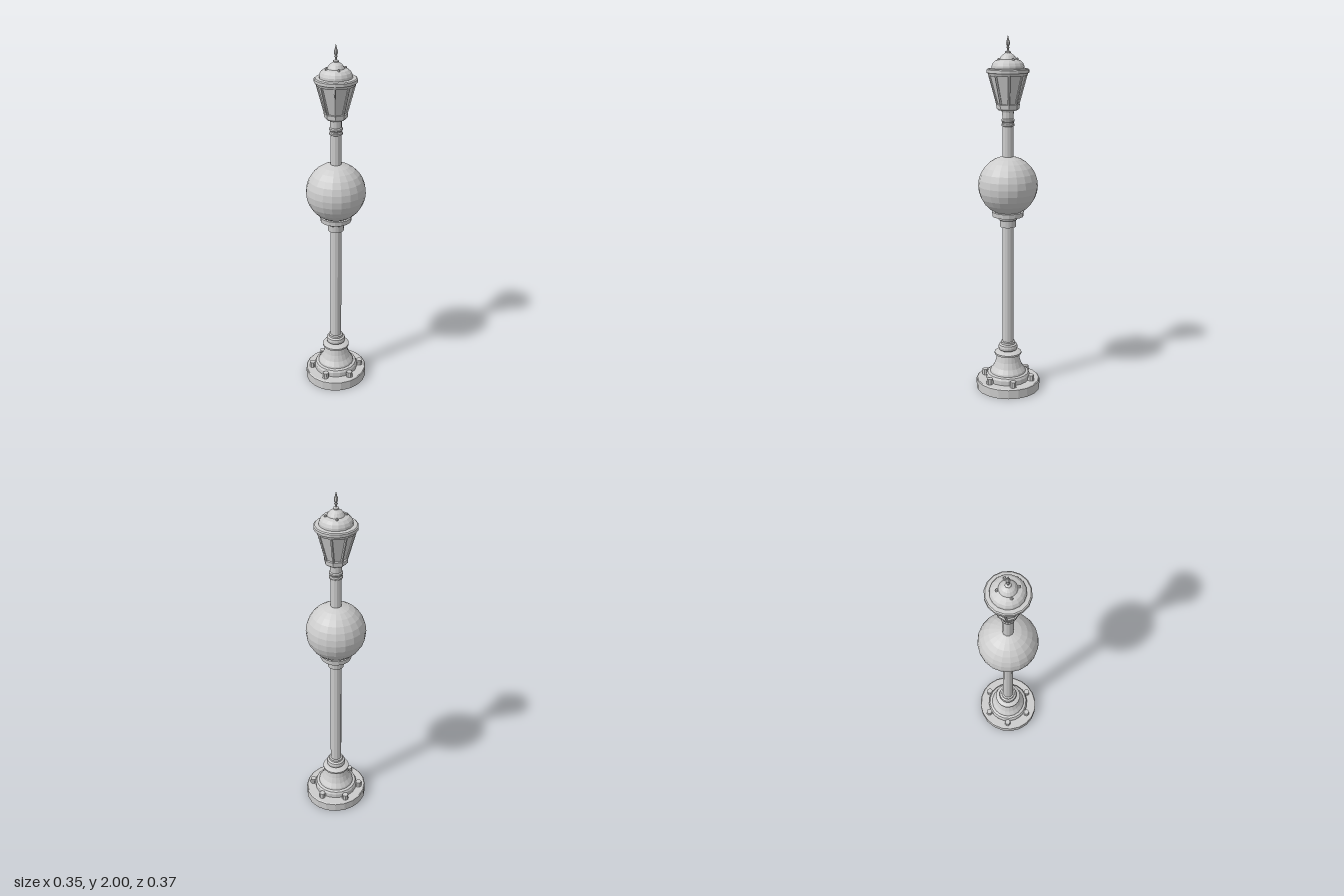
import * as THREE from 'three';

export function createModel() {
  const model = new THREE.Group();
  const metal = new THREE.MeshStandardMaterial({ color: 0xcccccc, flatShading: true });
  metal.name = 'paleGrey';

  const add = (name, geometry, parent = model) => {
    const mesh = new THREE.Mesh(geometry, metal);
    mesh.name = name;
    parent.add(mesh);
    return mesh;
  };
  // Turned part: profile of [radius, height] from bottom to top
  const turned = (name, profile, sides = 16, start = 0) =>
    add(name, new THREE.LatheGeometry(profile.map(([r, y]) => new THREE.Vector2(r, y)), sides, start));

  // Foot slab, slightly deeper than wide
  turned('footSlab', [[0, 0], [0.183, 0], [0.183, 0.052], [0.178, 0.056], [0, 0.056]], 20).scale.x = 0.965;

  // Six anchor lugs around the flange
  const lugs = new THREE.Group();
  lugs.name = 'anchorLugs';
  model.add(lugs);
  for (let i = 0; i < 6; i++) {
    const a = Math.PI / 6 + i * Math.PI / 3;
    const lug = add('anchorLug', new THREE.CylinderGeometry(0.017, 0.019, 0.034, 8), lugs);
    lug.position.set(Math.cos(a) * 0.14, 0.071, Math.sin(a) * 0.14);
    const web = add('lugWeb', new THREE.BoxGeometry(0.05, 0.02, 0.026), lugs);
    web.position.set(Math.cos(a) * 0.12, 0.065, Math.sin(a) * 0.12);
    web.rotation.y = -a;
  }

  // Flared pedestal with neck mouldings
  turned('pedestal', [
    [0.125, 0.055], [0.125, 0.082], [0.118, 0.094], [0.103, 0.098], [0.1, 0.108],
    [0.083, 0.132], [0.07, 0.165], [0.062, 0.202], [0.077, 0.206], [0.077, 0.216],
    [0.06, 0.222], [0.04, 0.226], [0.052, 0.234], [0.055, 0.248], [0.052, 0.262],
    [0.041, 0.268], [0.041, 0.28], [0.03, 0.283],
  ], 20);

  // Post below and above the globe
  const post = add('post', new THREE.CylinderGeometry(0.03, 0.032, 1.36, 12, 1, true));
  post.position.y = 0.94;
  post.rotation.y = Math.PI / 12;

  // Cup that carries the globe
  turned('globeCup', [
    [0.03, 0.96], [0.044, 0.96], [0.046, 0.998], [0.053, 1.003], [0.053, 1.018],
    [0.086, 1.02], [0.088, 1.046], [0.06, 1.048],
  ], 16);

  const globe = add('globe', new THREE.SphereGeometry(0.164, 20, 14));
  globe.position.y = 1.192;

  // Moulded rings on the upper post
  turned('upperRings', [
    [0.03, 1.518], [0.037, 1.522], [0.037, 1.53], [0.032, 1.535], [0.032, 1.541],
    [0.037, 1.546], [0.037, 1.555], [0.031, 1.56], [0.032, 1.595], [0.037, 1.605],
  ], 12);

  // Eight-sided lantern
  const eighth = Math.PI / 8;
  turned('lanternSeat', [
    [0, 1.605], [0.053, 1.605], [0.062, 1.615], [0.064, 1.636], [0.052, 1.64],
  ], 8, eighth);
  turned('lanternPanes', [[0.052, 1.625], [0.098, 1.795]], 8, eighth);
  const bars = new THREE.Group();
  bars.name = 'lanternBars';
  model.add(bars);
  for (let i = 0; i < 8; i++) {
    const a = eighth + i * Math.PI / 4;
    const at = (r, y) => new THREE.Vector3(r * Math.sin(a), y, r * Math.cos(a));
    const path = new THREE.LineCurve3(at(0.055, 1.63), at(0.1, 1.795));
    add('cornerBar', new THREE.TubeGeometry(path, 1, 0.0065, 5), bars);
  }

  // Rim, dome and cap
  turned('lanternRoof', [
    [0, 1.788], [0.103, 1.788], [0.108, 1.8], [0.114, 1.804], [0.114, 1.82], [0.108, 1.825],
    [0.088, 1.827], [0.087, 1.84], [0.08, 1.855], [0.066, 1.868], [0.046, 1.874],
    [0.043, 1.88], [0.033, 1.894], [0.018, 1.904], [0.012, 1.912], [0, 1.912],
  ], 16);

  // Four studs on the dome
  for (const x of [-1, 1]) {
    for (const z of [-1, 1]) {
      add('roofStud', new THREE.SphereGeometry(0.008, 8, 6)).position.set(x * 0.035, 1.873, z * 0.04);
    }
  }

  turned('finial', [
    [0.016, 1.905], [0.016, 1.913], [0.006, 1.918], [0.005, 1.93], [0.01, 1.935], [0.005, 1.94],
    [0.011, 1.952], [0.011, 1.962], [0.005, 1.978], [0.003, 1.988], [0, 2],
  ], 8);

  return model;
}
